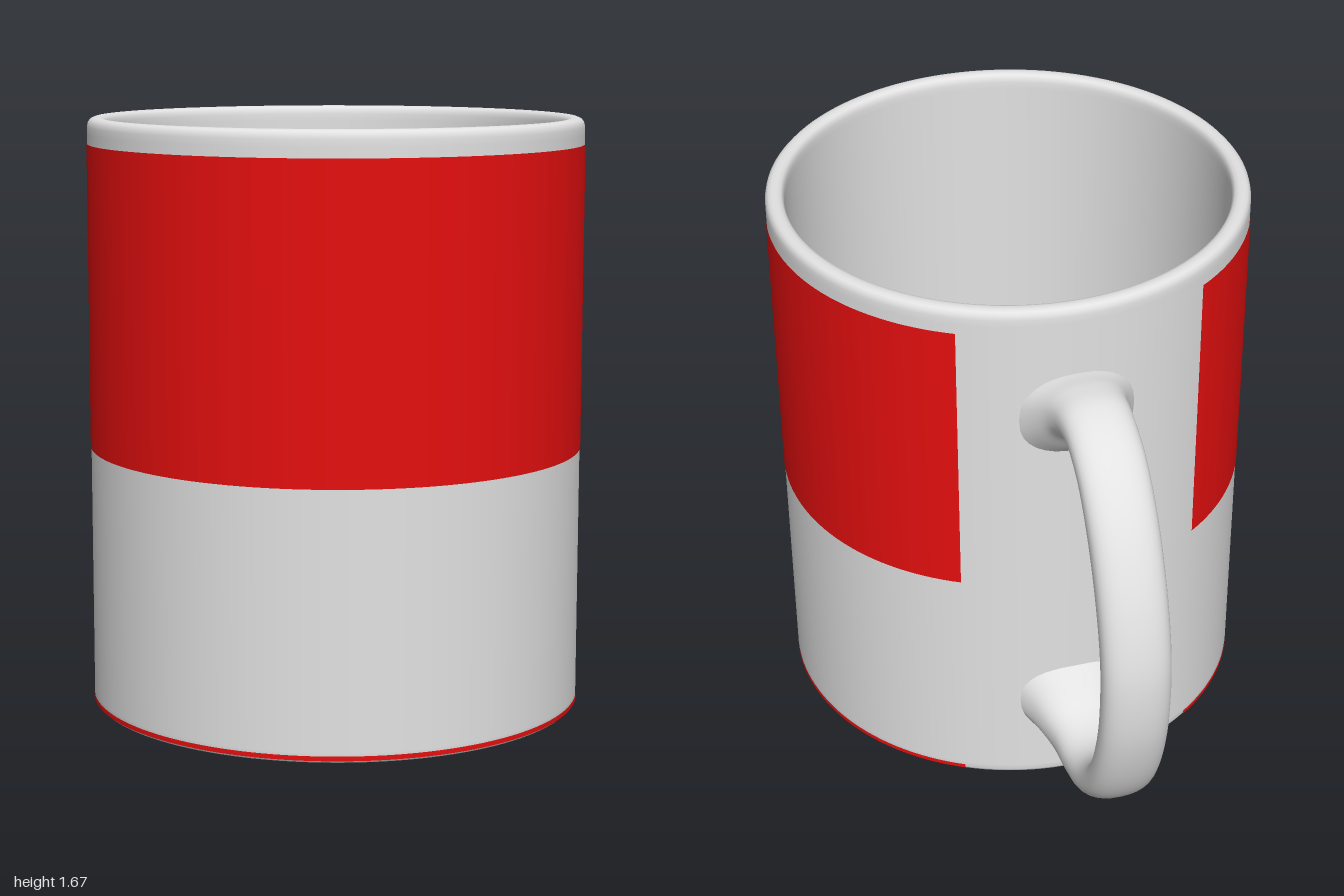
import * as THREE from 'three';

const RADIUS = 0.7;
const CENTRE_Z = 0.3;
const deg = THREE.MathUtils.degToRad;

// Cup: one closed turned profile, underside -> outer wall -> rim -> inside -> floor
function cupGeometry() {
  const profile = [
    [0, 0.02], [0.59, 0.02], [0.6, 0.018], [0.62, 0.002], [0.63, 0], [0.685, 0],
    [0.695, 0.003], [RADIUS, 0.012], [RADIUS, 0.03], [RADIUS, 1.63], [RADIUS, 1.65],
    [0.697, 1.663], [0.69, 1.671], [0.68, 1.675], [0.665, 1.675], [0.654, 1.671],
    [0.648, 1.663], [0.645, 1.65], [0.645, 1.63], [0.642, 0.14], [0.64, 0.12],
    [0.633, 0.095], [0.622, 0.08], [0.605, 0.07], [0.59, 0.068], [0, 0.068],
  ].map(([r, y]) => new THREE.Vector2(r, y));
  return new THREE.LatheGeometry(profile, 128);
}

// Thin painted wrap around the cup, leaving a gap at the handle
function bandGeometry(y0, y1) {
  const g = new THREE.CylinderGeometry(RADIUS + 0.002, RADIUS + 0.002, y1 - y0, 128, 1, true, deg(-146), deg(298.3));
  return g.translate(0, (y0 + y1) / 2, 0);
}

// Handle: rounded sections swept between an outer and an inner edge curve
function handleGeometry() {
  // outer z, outer y, inner z, inner y, half width
  const stations = [
    [-0.36, 1.46, -0.36, 1.16, 0.18],
    [-0.42, 1.465, -0.42, 1.23, 0.14],
    [-0.48, 1.473, -0.48, 1.305, 0.112],
    [-0.57, 1.47, -0.56, 1.34, 0.1],
    [-0.70, 1.41, -0.66, 1.30, 0.098],
    [-0.83, 1.28, -0.75, 1.18, 0.098],
    [-0.93, 1.10, -0.82, 1.03, 0.098],
    [-0.985, 0.92, -0.865, 0.89, 0.098],
    [-1.0, 0.78, -0.875, 0.78, 0.098],
    [-0.985, 0.60, -0.86, 0.61, 0.098],
    [-0.92, 0.40, -0.81, 0.46, 0.098],
    [-0.84, 0.28, -0.75, 0.37, 0.098],
    [-0.72, 0.19, -0.67, 0.31, 0.098],
    [-0.60, 0.157, -0.59, 0.295, 0.1],
    [-0.50, 0.15, -0.50, 0.32, 0.108],
    [-0.42, 0.157, -0.42, 0.39, 0.14],
    [-0.36, 0.165, -0.36, 0.45, 0.18],
  ];
  const outer = new THREE.CatmullRomCurve3(stations.map((s) => new THREE.Vector3(s[4], s[1], s[0])));
  const inner = new THREE.CatmullRomCurve3(stations.map((s) => new THREE.Vector3(s[4], s[3], s[2])));
  const rows = 96, sides = 32;
  const soften = (v) => Math.sign(v) * Math.abs(v) ** 0.85;
  const positions = [], indices = [];
  for (let i = 0; i <= rows; i++) {
    const o = outer.getPoint(i / rows);
    const n = inner.getPoint(i / rows);
    for (let j = 0; j < sides; j++) {
      const a = (j / sides) * Math.PI * 2;
      const across = soften(Math.cos(a));
      const k = (soften(Math.sin(a)) + 1) / 2;
      positions.push(o.x * across, n.y + (o.y - n.y) * k, n.z + (o.z - n.z) * k);
      if (i < rows) {
        const p = i * sides + j;
        const q = i * sides + ((j + 1) % sides);
        indices.push(p, p + sides, q, q, p + sides, q + sides);
      }
    }
  }
  const g = new THREE.BufferGeometry();
  g.setAttribute('position', new THREE.Float32BufferAttribute(positions, 3));
  g.setIndex(indices);
  g.computeVertexNormals();
  return g;
}

export function createModel() {
  const ceramic = new THREE.MeshStandardMaterial({ color: 0xe2e2e2 });
  ceramic.name = 'white ceramic';
  const red = new THREE.MeshStandardMaterial({ color: 0xe60f0f });
  red.name = 'red glaze';

  const model = new THREE.Group();
  model.name = 'mug';
  const add = (name, geometry, material, z) => {
    const mesh = new THREE.Mesh(geometry, material);
    mesh.name = name;
    mesh.position.z = z;
    model.add(mesh);
  };

  add('cup', cupGeometry(), ceramic, CENTRE_Z);
  add('upperBand', bandGeometry(0.742, 1.602), red, CENTRE_Z);
  add('baseStripe', bandGeometry(0.009, 0.022), red, CENTRE_Z);
  add('handle', handleGeometry(), ceramic, 0);
  return model;
}
